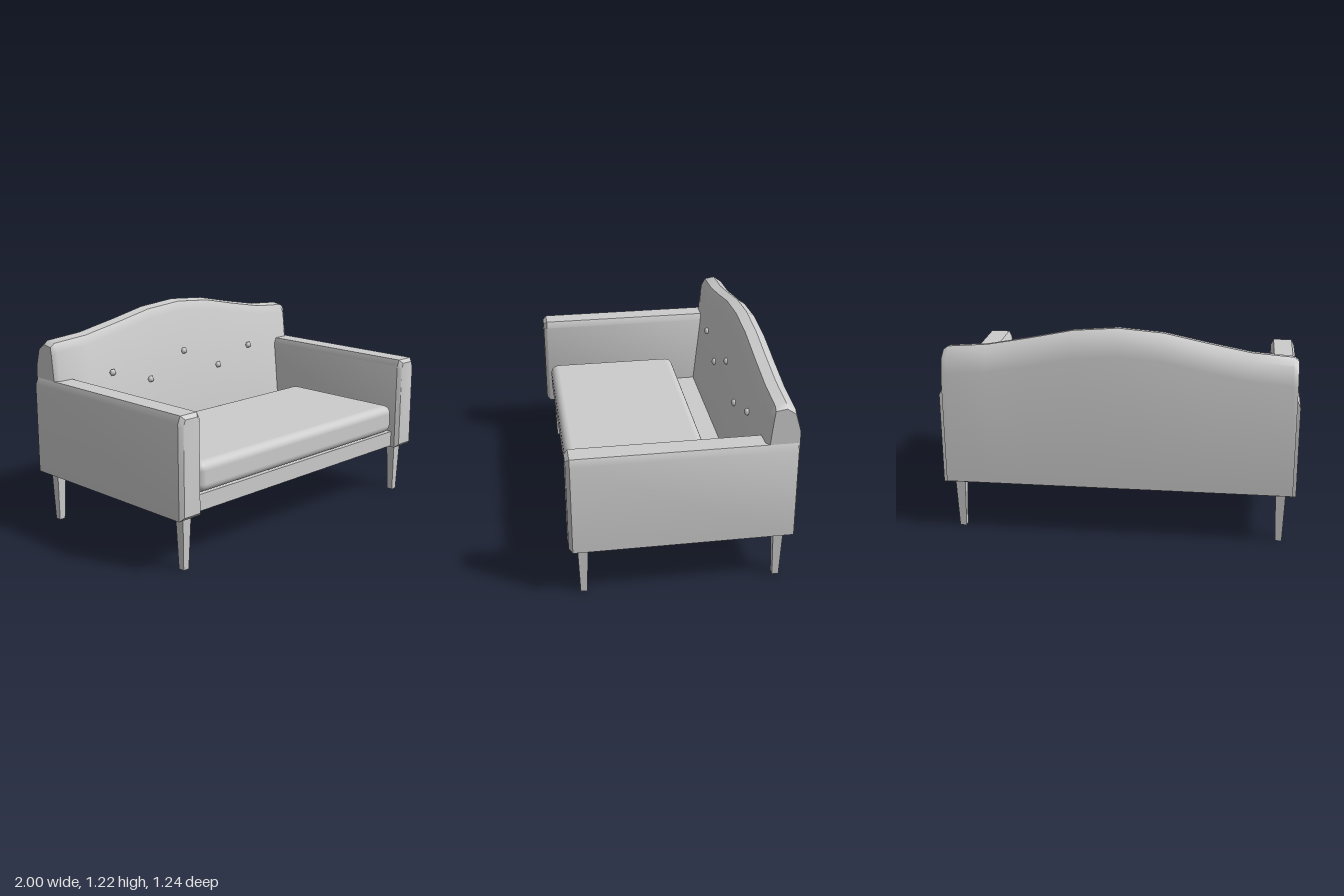
import * as THREE from 'three';
import { toCreasedNormals } from 'three/addons/utils/BufferGeometryUtils.js';
import { RoundedBoxGeometry } from 'three/addons/geometries/RoundedBoxGeometry.js';

// Skin a list of equal-length rings, counter-clockwise about the loft axis, with end caps
function loft(rings, crease = 0.75) {
  const n = rings[0].length, last = (rings.length - 1) * n, index = [];
  for (let i = 0; i < rings.length - 1; i++) {
    for (let j = 0; j < n; j++) {
      const a = i * n + j, b = i * n + (j + 1) % n;
      index.push(a, b, b + n, a, b + n, a + n);
    }
  }
  for (let j = 1; j < n - 1; j++) index.push(0, j + 1, j, last, last + j, last + j + 1);
  const g = new THREE.BufferGeometry();
  g.setAttribute('position', new THREE.Float32BufferAttribute(rings.flat(2), 3));
  g.setIndex(index);
  return toCreasedNormals(g, crease);
}

export function createModel() {
  const group = new THREE.Group();
  const fabric = new THREE.MeshStandardMaterial({ color: 0xcccccc });
  fabric.name = 'light grey';
  const add = (name, geometry, x = 0, y = 0, z = 0) => {
    const mesh = new THREE.Mesh(geometry, fabric);
    mesh.name = name;
    mesh.position.set(x, y, z);
    group.add(mesh);
    return mesh;
  };

  // Camel-shaped backrest: slanted front, rolled top, lofted across the width
  const backSection = (x, h, inset) => [
    [-0.381 - inset, 0.305], [-0.455 - inset, h - 0.06], [-0.48, h - 0.01], [-0.54, h],
    [-0.59, h - 0.035], [-0.62, h - 0.14], [-0.62, 0.305],
  ].reverse().map(([z, y]) => [x, y, z]);
  const half = [[0.25, 1.2, 0], [0.49, 1.15, 0], [0.73, 1.105, 0], [0.955, 1.088, 0], [0.982, 1.068, 0.018]];
  const stations = [...half.map(([x, h, i]) => [-x, h, i]).reverse(), [0, 1.22, 0], ...half];
  add('backrest', loft(stations.map((s) => backSection(...s))));

  // Arms with softened top edges and front
  const armProfile = [[0.848, 0.3], [1, 0.3], [1, 0.825], [0.982, 0.863], [0.868, 0.863], [0.85, 0.825]];
  const armSection = (side, z, inset) => {
    const ring = armProfile.map(([x, y]) => [
      side * (0.924 + (x - 0.924) * (1 - inset / 0.076)),
      0.582 + (y - 0.582) * (1 - inset / 0.282), z,
    ]);
    return side > 0 ? ring : ring.reverse();
  };
  for (const side of [1, -1]) {
    add(side > 0 ? 'leftArm' : 'rightArm', loft([
      armSection(side, -0.612, 0), armSection(side, 0.597, 0), armSection(side, 0.618, 0.02),
    ]));
  }

  // Seat frame and loose cushion
  add('seatBase', new THREE.BoxGeometry(1.72, 0.093, 1.07), 0, 0.3535, 0.035);
  add('seatCushion', new RoundedBoxGeometry(1.68, 0.173, 0.818, 3, 0.05), 0, 0.4885, 0.177);

  // Tufting buttons on the sloping front of the back
  const buttonGeometry = new THREE.SphereGeometry(0.022, 6, 4).rotateX(Math.PI / 2).scale(1, 1, 0.75);
  for (const [x, y] of [[-0.58, 0.857], [-0.29, 0.77], [0, 0.903], [0.29, 0.77], [0.58, 0.857]]) {
    add('button', buttonGeometry, x, y, -0.381 - (y - 0.305) * 0.087 + 0.004);
  }

  // Square tapered legs
  const legGeometry = toCreasedNormals(
    new THREE.CylinderGeometry(0.041, 0.026, 0.31, 4).rotateY(Math.PI / 4), 0.5);
  for (const x of [-0.917, 0.917]) {
    for (const z of [-0.54, 0.54]) add('leg', legGeometry, x, 0.155, z);
  }
  return group;
}
